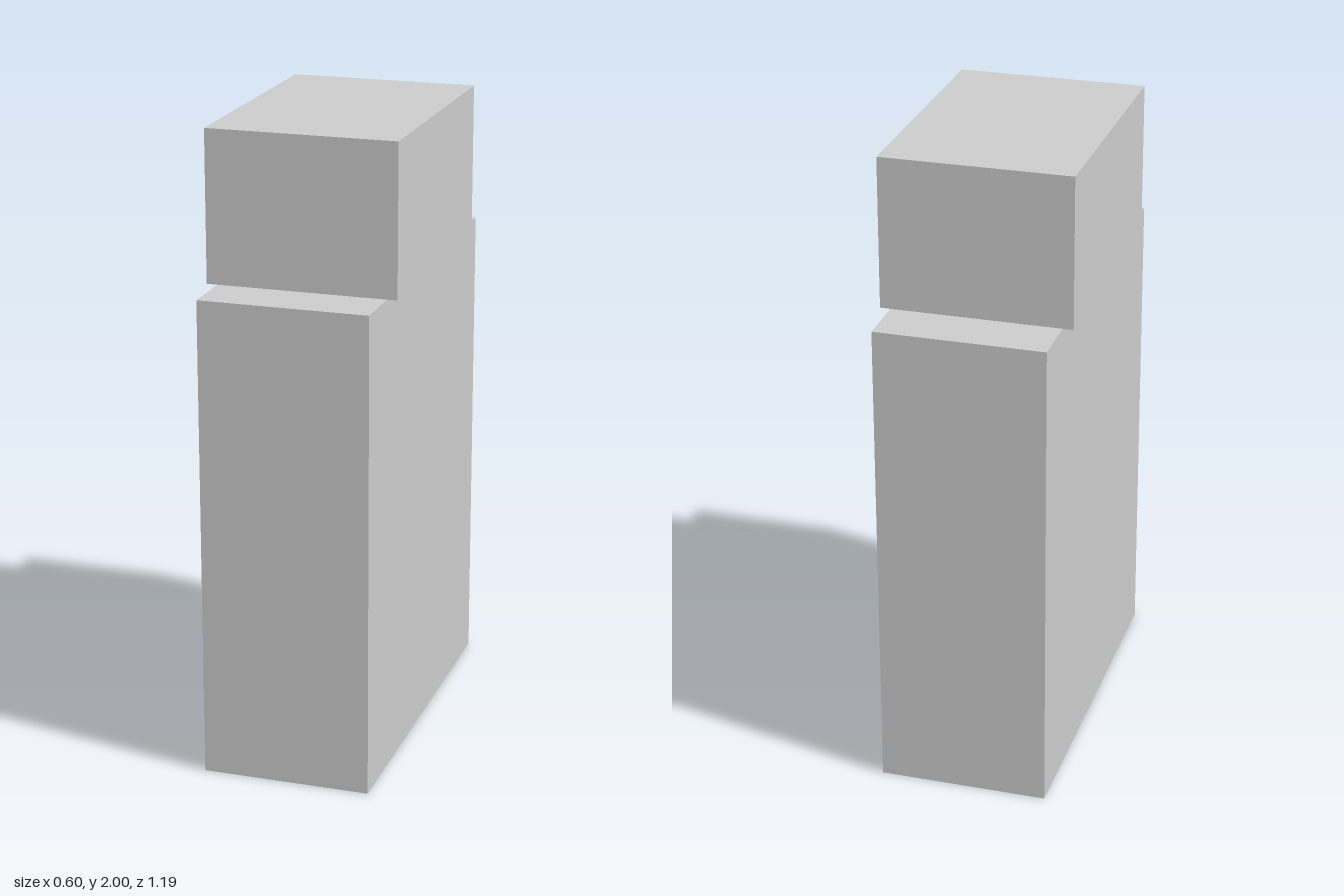
import * as THREE from 'three';

export function createModel() {
  const group = new THREE.Group();
  const material = new THREE.MeshStandardMaterial({ color: 0xcccccc, flatShading: true });

  // Adds a centred block spanning the heights y0 to y1
  function addBlock(name, width, depth, y0, y1) {
    const mesh = new THREE.Mesh(new THREE.BoxGeometry(width, y1 - y0, depth), material);
    mesh.name = name;
    mesh.position.y = (y0 + y1) / 2;
    group.add(mesh);
  }

  // Tall slab, with a wider but shorter block resting on top
  addBlock('body', 0.53, 1.19, 0, 1.525);
  addBlock('cap', 0.596, 0.84, 1.525, 2);

  return group;
}
